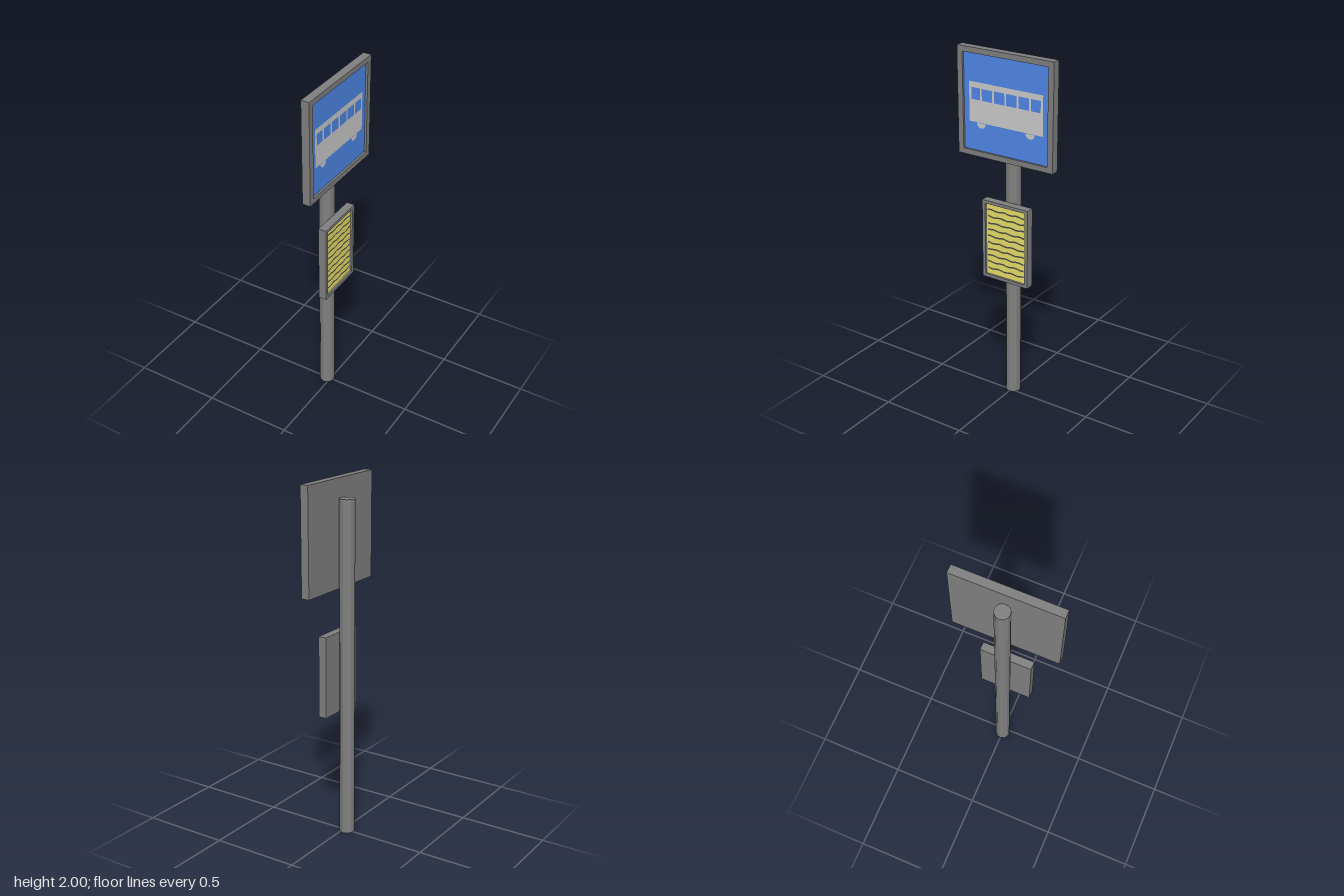
import * as THREE from 'three';

const mat = (color) => new THREE.MeshStandardMaterial({ color, flatShading: true });
const steel = mat(0x808080), blue = mat(0x4f88e8), yellow = mat(0xe8e068);
const pale = mat(0xcccccc), ink = mat(0x4a4a4a);

function add(parent, name, geometry, material, x = 0, y = 0, z = 0) {
  const mesh = new THREE.Mesh(geometry, material);
  mesh.name = name;
  mesh.position.set(x, y, z);
  parent.add(mesh);
  return mesh;
}

// Rectangle outline, used for shapes and for holes
function rect(x0, y0, x1, y1, Type = THREE.Shape) {
  const p = [[x0, y0], [x1, y0], [x1, y1], [x0, y1]].map(([x, y]) => new THREE.Vector2(x, y));
  return new Type(p);
}

const BACK = 0.016, FRONT = 0.062, FACE = 0.05;

// Framed board: rim with a recessed coloured face, drawn facing +z
function board(name, halfW, y0, y1, rimX, rimY, material) {
  const group = new THREE.Group();
  group.name = name;
  const rim = rect(-halfW, y0, halfW, y1);
  rim.holes.push(rect(-halfW + rimX, y0 + rimY, halfW - rimX, y1 - rimY, THREE.Path));
  add(group, name + 'Frame', new THREE.ExtrudeGeometry(rim, { depth: FRONT - BACK, bevelEnabled: false }), steel, 0, 0, BACK);
  const w = 2 * (halfW - rimX), h = y1 - y0 - 2 * rimY, mid = (y0 + y1) / 2;
  add(group, name + 'Back', new THREE.BoxGeometry(w, h, 0.02), steel, 0, mid, BACK + 0.01);
  add(group, name + 'Face', new THREE.PlaneGeometry(w, h), material, 0, mid, FACE);
  return group;
}

// Wavy strip standing for one line of print
function printLine(halfW, thickness, phase) {
  const n = 16, top = [], bottom = [];
  for (let i = 0; i <= n; i++) {
    const x = -halfW + (2 * halfW * i) / n;
    const y = 0.003 * Math.sin(i * 1.1 + phase);
    top.push(new THREE.Vector2(x, y + thickness / 2));
    bottom.push(new THREE.Vector2(x, y - thickness / 2));
  }
  return new THREE.ShapeGeometry(new THREE.Shape(bottom.concat(top.reverse())));
}

export function createModel() {
  const model = new THREE.Group();
  model.name = 'busStopSign';

  // Pole
  add(model, 'pole', new THREE.CylinderGeometry(0.042, 0.042, 1.895, 12), steel, -0.022, 0.9475, 0);

  // Both boards face +x
  const boards = new THREE.Group();
  boards.name = 'boards';
  boards.rotation.y = Math.PI / 2;
  model.add(boards);

  // Upper board with a bus pictogram
  const sign = board('sign', 0.295, 1.415, 2, 0.033, 0.03, blue);
  boards.add(sign);
  const bus = rect(-0.228, 1.6, 0.228, 1.817);
  const pillars = [-0.213, -0.154, -0.078, -0.001, 0.075, 0.151, 0.214];
  for (let i = 0; i < 6; i++) {
    const a = pillars[i] + (i ? 0.006 : 0), b = pillars[i + 1] - (i < 5 ? 0.006 : 0);
    bus.holes.push(rect(a, 1.722, b, 1.786, THREE.Path));
  }
  add(sign, 'busBody', new THREE.ShapeGeometry(bus), pale, 0, 0, FACE + 0.002);
  for (const x of [-0.153, 0.151]) {
    add(sign, 'busWheel', new THREE.CircleGeometry(0.028, 12, Math.PI, Math.PI), pale, x, 1.598, FACE + 0.002);
  }

  // Lower board with the timetable
  const timetable = board('timetable', 0.146, 0.72, 1.175, 0.019, 0.018, yellow);
  boards.add(timetable);
  for (let i = 0; i < 10; i++) {
    add(timetable, 'timetableLine', printLine(0.117, 0.009, i * 1.7), ink, 0, 1.121 - i * 0.0385, FACE + 0.002);
  }
  return model;
}
